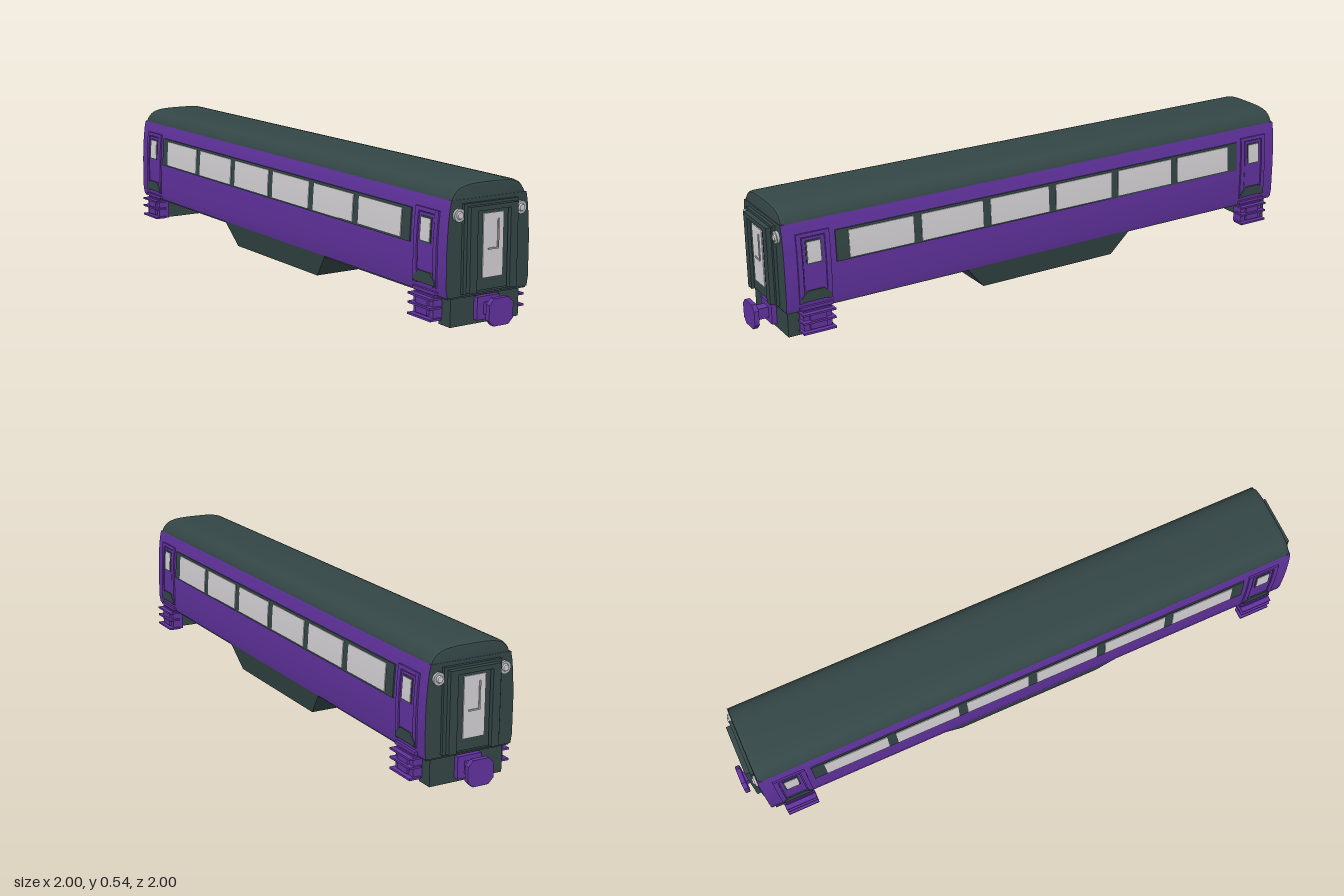
import * as THREE from 'three';
import { toCreasedNormals } from 'three/addons/utils/BufferGeometryUtils.js';

const mat = (name, color) => Object.assign(new THREE.MeshStandardMaterial({ color }), { name });

// Half width of the body at each height
const PROFILE = [[0.186, 0.12], [0.192, 0.155], [0.192, 0.29], [0.19, 0.34], [0.186, 0.4], [0.181, 0.445], [0.174, 0.48]];
function widthAt(y) {
  for (let i = 1; i < PROFILE.length; i++) {
    const [w0, y0] = PROFILE[i - 1], [w1, y1] = PROFILE[i];
    if (y <= y1) return w0 + (w1 - w0) * Math.max(0, (y - y0) / (y1 - y0));
  }
  return PROFILE[PROFILE.length - 1][0];
}

export function createModel() {
  const purple = mat('purple paint', 0x6233a0);
  const dark = mat('dark slate', 0x344646);
  const glass = mat('pale glass', 0xd6d3d6);
  const lamp = mat('lamp grey', 0xb2b8b8);

  const add = (parent, name, geo, material) => {
    const m = new THREE.Mesh(geo, material);
    m.name = name;
    parent.add(m);
    return m;
  };
  // Box given by its limits
  const box = (parent, name, material, x0, x1, y0, y1, z0, z1) => {
    const m = add(parent, name, new THREE.BoxGeometry(x1 - x0, y1 - y0, z1 - z0), material);
    m.position.set((x0 + x1) / 2, (y0 + y1) / 2, (z0 + z1) / 2);
    return m;
  };
  // Thin plate that follows the curved side wall
  const sidePlate = (parent, name, material, z0, z1, y0, y1, lift) => {
    const geo = new THREE.BoxGeometry(0.008, y1 - y0, z1 - z0, 1, 4, 1);
    geo.translate(0, (y0 + y1) / 2, (z0 + z1) / 2);
    const p = geo.attributes.position;
    for (let i = 0; i < p.count; i++) p.setX(i, p.getX(i) - 0.004 + widthAt(p.getY(i)) + lift);
    geo.computeVertexNormals();
    return add(parent, name, geo, material);
  };
  const extrude = (points, depth, options = {}) => {
    const geo = new THREE.ExtrudeGeometry(new THREE.Shape(points), { depth, bevelEnabled: false, ...options });
    geo.translate(0, 0, -depth / 2);
    return toCreasedNormals(geo, 0.5);
  };
  const v = (x, y) => new THREE.Vector2(x, y);

  const model = new THREE.Group();
  model.name = 'railCoach';
  const coach = new THREE.Group();
  coach.name = 'coach';
  coach.rotation.y = Math.PI / 4; // coach stands diagonally
  model.add(coach);

  // Body shell with painted sides and dark ends
  const right = PROFILE.map(([w, y]) => v(w, y));
  const left = PROFILE.map(([w, y]) => v(-w, y)).reverse();
  add(coach, 'body', extrude([...right, ...left], 2.438), [dark, purple]);
  box(coach, 'floor', dark, -0.182, 0.182, 0.114, 0.121, -1.215, 1.215);

  // Rounded roof with softened ends
  const arc = new THREE.SplineCurve([v(0.174, 0.48), v(0.165, 0.499), v(0.14, 0.523), v(0.09, 0.537), v(0, 0.54),
    v(-0.09, 0.537), v(-0.14, 0.523), v(-0.165, 0.499), v(-0.174, 0.48)]).getPoints(32);
  add(coach, 'roof', extrude([v(0.165, 0.46), ...arc, v(-0.165, 0.46)], 2.39,
    { bevelEnabled: true, bevelThickness: 0.022, bevelSize: 0.012, bevelOffset: -0.012, bevelSegments: 3 }), dark);

  // Tapered equipment box under the middle
  const tank = new THREE.BoxGeometry(2, 0.1, 2);
  tank.translate(0, 0.07, 0);
  const tp = tank.attributes.position;
  for (let i = 0; i < tp.count; i++) {
    const top = tp.getY(i) > 0.07;
    tp.setX(i, tp.getX(i) * (top ? 0.186 : 0.168));
    tp.setZ(i, tp.getZ(i) * (top ? 0.41 : 0.326));
  }
  tank.computeVertexNormals();
  add(coach, 'underfloorBox', tank, dark);

  for (const turn of [0, Math.PI]) {
    // Side: window band, doors and steps
    const side = new THREE.Group();
    side.name = turn ? 'rightSide' : 'leftSide';
    side.rotation.y = turn;
    coach.add(side);
    sidePlate(side, 'windowBand', dark, -1.0, 1.0, 0.293, 0.422, 0.005);
    for (let i = 0; i < 6; i++) {
      const z = (i - 2.5) * 0.321;
      sidePlate(side, 'window', glass, z - 0.142, z + 0.142, 0.301, 0.412, 0.008);
    }
    for (const s of [-1, 1]) {
      const z = s * 1.095;
      // Raised door frame, leaf, window and recess for the step
      sidePlate(side, 'doorPostInner', purple, z - 0.07, z - 0.05, 0.15, 0.435, 0.007);
      sidePlate(side, 'doorPostOuter', purple, z + 0.05, z + 0.07, 0.15, 0.435, 0.007);
      sidePlate(side, 'doorHead', purple, z - 0.05, z + 0.05, 0.42, 0.435, 0.007);
      sidePlate(side, 'doorLeaf', purple, z - 0.046, z + 0.046, 0.2, 0.416, 0.004);
      sidePlate(side, 'doorWindowFrame', dark, z - 0.034, z + 0.034, 0.308, 0.405, 0.006);
      sidePlate(side, 'doorWindow', glass, z - 0.028, z + 0.028, 0.314, 0.399, 0.008);
      const recess = new THREE.ExtrudeGeometry(new THREE.Shape([v(-0.065, 0.155), v(0.065, 0.155), v(0.065, 0.172),
        v(0.035, 0.2), v(-0.035, 0.2), v(-0.065, 0.172)]), { depth: 0.009, bevelEnabled: false });
      recess.rotateY(Math.PI / 2);
      add(side, 'doorSill', recess, dark).position.set(0.192, 0, z);
      // Step block with thin treads
      box(side, 'stepBlock', purple, 0.15, 0.2, 0.025, 0.118, z - 0.06, z + 0.06);
      box(side, 'stepFace', purple, 0.2, 0.21, 0.04, 0.1, z - 0.035, z + 0.035);
      for (const y of [0.03, 0.073, 0.108])
        box(side, 'stepTread', purple, 0.17, 0.221, y - 0.004, y + 0.004, z - 0.07, z + 0.07);
      box(side, 'upperStep', purple, 0.18, 0.2, 0.122, 0.135, z - 0.07, z + 0.07);
    }

    // End: gangway, lamps, skirt and coupler
    const end = new THREE.Group();
    end.name = turn ? 'backEnd' : 'frontEnd';
    end.rotation.y = turn;
    coach.add(end);
    box(end, 'skirt', dark, -0.16, 0.16, 0.005, 0.12, 1.135, 1.205);
    box(end, 'gangwayBase', dark, -0.125, 0.125, 0.13, 0.465, 1.215, 1.232);
    for (const s of [-1, 1]) {
      box(end, 'gangwayPost', dark, s * 0.093 - 0.017, s * 0.093 + 0.017, 0.135, 0.455, 1.23, 1.252);
      // Round lamp with a raised centre
      const ring = add(end, 'lampRing', new THREE.CylinderGeometry(0.025, 0.025, 0.014, 16), lamp);
      const bulb = add(end, 'lampLens', new THREE.CylinderGeometry(0.012, 0.016, 0.008, 12), glass);
      ring.rotation.x = bulb.rotation.x = Math.PI / 2;
      ring.position.set(s * 0.143, 0.425, 1.223);
      bulb.position.set(s * 0.143, 0.425, 1.232);
    }
    box(end, 'gangwayHead', dark, -0.076, 0.076, 0.437, 0.455, 1.23, 1.252);
    box(end, 'endDoor', dark, -0.07, 0.07, 0.14, 0.437, 1.23, 1.242);
    box(end, 'endDoorWindow', glass, -0.047, 0.047, 0.185, 0.425, 1.24, 1.246);
    box(end, 'doorHandleBar', lamp, 0.018, 0.024, 0.295, 0.4, 1.245, 1.25);
    box(end, 'doorHandleFoot', lamp, -0.025, 0.024, 0.289, 0.295, 1.245, 1.25);

    // Coupler: base plate, stem and rounded head
    box(end, 'couplerBase', purple, -0.052, 0.052, 0.022, 0.11, 1.203, 1.226);
    box(end, 'couplerStem', purple, -0.022, 0.022, 0.042, 0.088, 1.22, 1.285);
    const w = 0.056, h = 0.052, c = 0.022;
    const plate = [v(w, c - h), v(w, h - c), v(w - c, h), v(c - w, h), v(-w, h - c), v(-w, c - h), v(c - w, -h), v(w - c, -h)];
    add(end, 'couplerHead', extrude(plate, 0.02), purple).position.set(0, 0.066, 1.29);
  }
  return model;
}
